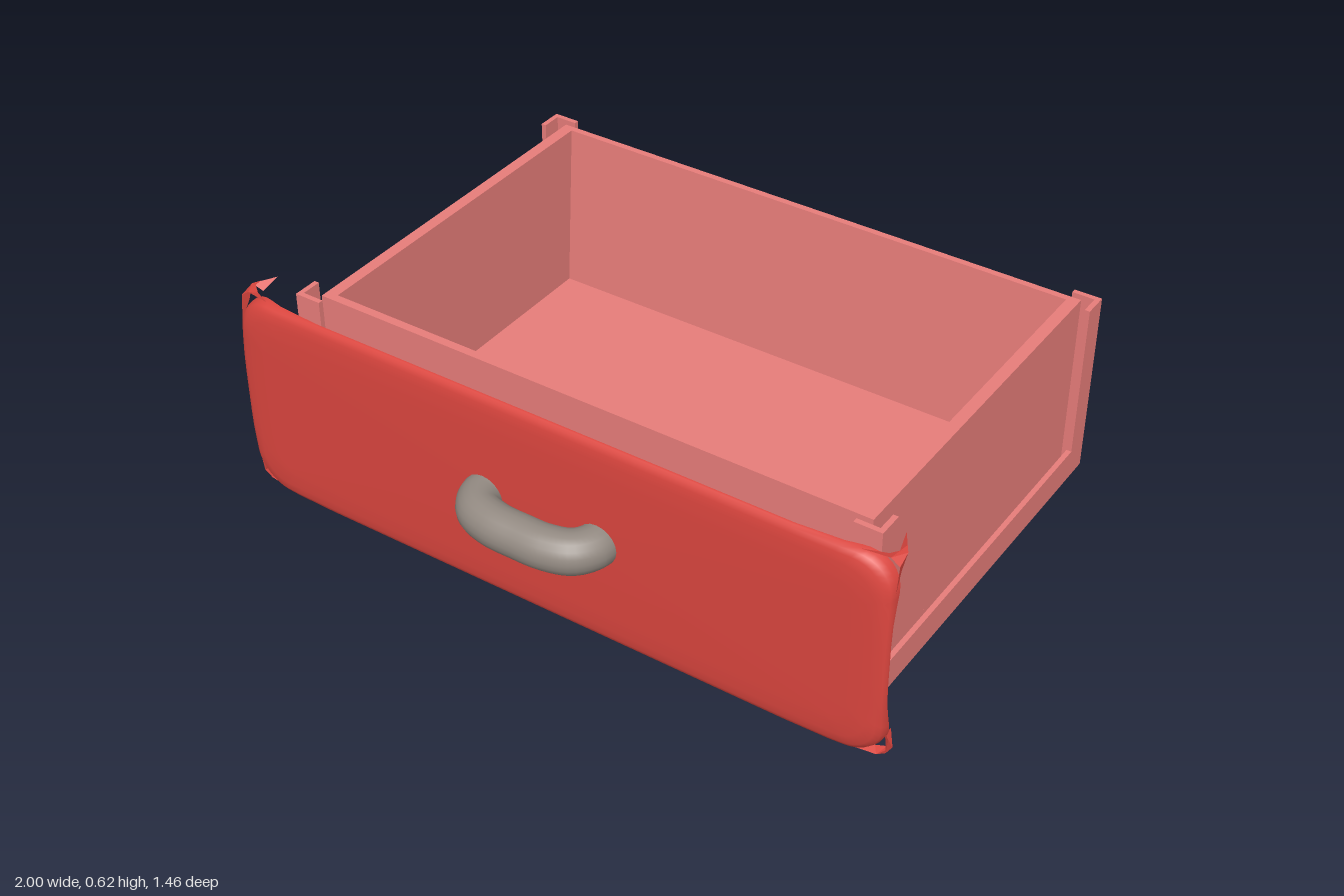
import * as THREE from 'three';

const wood = new THREE.MeshStandardMaterial({ color: 0xe87d7a });
wood.name = 'pale red wood';
const red = new THREE.MeshStandardMaterial({ color: 0xda453e, side: THREE.DoubleSide });
red.name = 'red front';
const grey = new THREE.MeshStandardMaterial({ color: 0x938a82 });
grey.name = 'grey handle';

const MID_Y = 0.3125;

function add(group, name, geometry, material) {
  const mesh = new THREE.Mesh(geometry, material);
  mesh.name = name;
  group.add(mesh);
  return mesh;
}

function outline(points, Type = THREE.Shape) {
  return new Type(points.map(([a, b]) => new THREE.Vector2(a, b)));
}

// Upright prism from a floor plan given as [x, z]
function prism(shape, y0, y1) {
  return new THREE.ExtrudeGeometry(shape, { depth: y1 - y0, bevelEnabled: false })
    .rotateX(Math.PI / 2).translate(0, y1, 0);
}

function box(x0, x1, y0, y1, z0, z1) {
  return new THREE.BoxGeometry(x1 - x0, y1 - y0, z1 - z0)
    .translate((x0 + x1) / 2, (y0 + y1) / 2, (z0 + z1) / 2);
}

// Wall across the drawer, from a section given as [z, y]
function crossWall(section) {
  return new THREE.ExtrudeGeometry(outline(section), { depth: 1.64, bevelEnabled: false })
    .rotateY(-Math.PI / 2).translate(0.82, 0, 0);
}

// Rectangular frame with a rectangular opening
function frame(y0, y1, x, back, front) {
  const shape = outline([[-0.9, -0.73], [0.9, -0.73], [0.9, 0.45], [-0.9, 0.45]]);
  shape.holes.push(outline([[-x, back], [-x, front], [x, front], [x, back]], THREE.Path));
  return prism(shape, y0, y1);
}

function makeTray() {
  const tray = new THREE.Group();
  tray.name = 'tray';

  // Thin outer casing: base frame, low band and corner posts, open between the posts
  add(tray, 'baseFrame', frame(0.035, 0.05, 0.82, -0.655, 0.365), wood);
  add(tray, 'lowerBand', frame(0.05, 0.125, 0.885, -0.715, 0.435), wood);
  for (const s of [1, -1]) {
    for (const [end, z0, z1, z2] of [['Back', -0.73, -0.715, -0.655], ['Front', 0.45, 0.435, 0.375]]) {
      const plan = [[0.9, z0], [0.9, z2], [0.885, z2], [0.885, z1], [0.82, z1], [0.82, z0]];
      add(tray, (s > 0 ? 'left' : 'right') + end + 'Post',
        prism(outline(plan.map(([x, z]) => [s * x, z])), 0.125, 0.592), wood);
    }
  }

  // Inner box standing free inside the casing; its front and back lean outward inside
  add(tray, 'floor', box(-0.85, 0.85, 0.05, 0.07, -0.71, 0.405), wood);
  add(tray, 'backWall', crossWall([[-0.71, 0.06], [-0.655, 0.06], [-0.69, 0.58], [-0.71, 0.58]]), wood);
  add(tray, 'frontWall', crossWall([[0.345, 0.06], [0.405, 0.06], [0.405, 0.58], [0.38, 0.58]]), wood);
  for (const s of [1, -1]) {
    add(tray, s > 0 ? 'leftWall' : 'rightWall',
      box(s * 0.8325 - 0.0175, s * 0.8325 + 0.0175, 0.06, 0.58, -0.71, 0.405), wood);
  }
  return tray;
}

// Rounded rectangle ring, inset from the full outline; drop pulls its corners back
function ring(inset, z, drop = 0) {
  const r = 0.1 - inset * 0.4, steps = 8, side = 10, points = [];
  const w = 1 - inset - r, h = MID_Y - inset - r;
  const corners = [[1, 1], [-1, 1], [-1, -1], [1, -1]];
  const put = (x, y) => {
    const t = THREE.MathUtils.smoothstep(Math.abs(x), 0.78, 1) * THREE.MathUtils.smoothstep(Math.abs(y), 0.08, 0.3);
    points.push([x, MID_Y + y, z - drop * t]);
  };
  corners.forEach(([sx, sy], q) => {
    const arc = (a) => [sx * w + r * Math.cos(a), sy * h + r * Math.sin(a)];
    for (let i = 0; i <= steps; i++) put(...arc((q + i / steps) * Math.PI / 2));
    // Extra points along the straight edge to the next corner
    const [nx, ny] = corners[(q + 1) % 4];
    const end = (q + 1) * Math.PI / 2;
    const [x0, y0] = arc(end);
    const x1 = nx * w + r * Math.cos(end), y1 = ny * h + r * Math.sin(end);
    for (let i = 1; i < side; i++) {
      const t = (1 - Math.cos(Math.PI * i / side)) / 2;
      put(x0 + (x1 - x0) * t, y0 + (y1 - y0) * t);
    }
  });
  return points;
}

// Softly pillowed shell that curls back at the edge
function pillowGeometry() {
  const rings = [
    ring(0, 0.564, 0.035), ring(0.001, 0.57, 0.022), ring(0.007, 0.577, 0.012), ring(0.02, 0.582, 0.006),
    ring(0.045, 0.585), ring(0.1, 0.588),
  ];
  const n = rings[0].length, positions = rings.flat(2), index = [];
  positions.push(0, MID_Y, 0.589);
  const centre = rings.length * n;
  for (let k = 0; k < rings.length; k++) {
    for (let i = 0; i < n; i++) {
      const a = k * n + i, b = k * n + (i + 1) % n;
      if (k === rings.length - 1) index.push(a, b, centre);
      else index.push(a, b, b + n, a, b + n, a + n);
    }
  }
  const g = new THREE.BufferGeometry();
  g.setAttribute('position', new THREE.Float32BufferAttribute(positions, 3));
  g.setIndex(index);
  g.computeVertexNormals();
  return g;
}

// Ragged thin flaps bending back at one corner
function cornerGeometry(sx, sy) {
  const triangles = [
    // side flap
    [1, 0.22, 0.56], [1, 0.295, 0.55], [0.995, 0.27, 0.53],
    [1, 0.295, 0.55], [0.998, 0.31, 0.51], [0.995, 0.27, 0.53],
    // top flap
    [0.9, 0.3125, 0.56], [0.975, 0.3125, 0.55], [0.96, 0.305, 0.53],
    [0.975, 0.3125, 0.55], [0.985, 0.3125, 0.51], [0.96, 0.305, 0.53],
    // corner tip
    [1, 0.295, 0.55], [0.975, 0.3125, 0.55], [0.998, 0.31, 0.51],
    [0.998, 0.31, 0.51], [0.975, 0.3125, 0.55], [0.985, 0.3125, 0.49],
    [0.998, 0.31, 0.51], [0.97, 0.29, 0.5], [0.96, 0.3125, 0.45],
  ];
  const g = new THREE.BufferGeometry();
  g.setAttribute('position', new THREE.Float32BufferAttribute(
    triangles.flatMap(([x, y, z]) => [sx * x, MID_Y + sy * y, z]), 3));
  g.computeVertexNormals();
  return g;
}

function makeFront() {
  const front = new THREE.Group();
  front.name = 'drawerFront';
  add(front, 'frontPanel', pillowGeometry(), red);
  for (const sx of [1, -1]) for (const sy of [1, -1]) {
    add(front, (sy > 0 ? 'upper' : 'lower') + (sx > 0 ? 'Left' : 'Right') + 'Flap', cornerGeometry(sx, sy), red);
  }
  return front;
}

export function createModel() {
  const model = new THREE.Group();
  model.name = 'drawer';
  model.add(makeTray(), makeFront());

  // Thick bowed handle
  const path = new THREE.CatmullRomCurve3([
    [-0.178, 0.57], [-0.175, 0.605], [-0.145, 0.647], [-0.08, 0.669], [0, 0.672],
    [0.08, 0.669], [0.145, 0.647], [0.175, 0.605], [0.178, 0.57],
  ].map(([x, z]) => new THREE.Vector3(x, 0.32, z)));
  add(model, 'handle', new THREE.TubeGeometry(path, 40, 0.06, 20), grey);
  return model;
}
